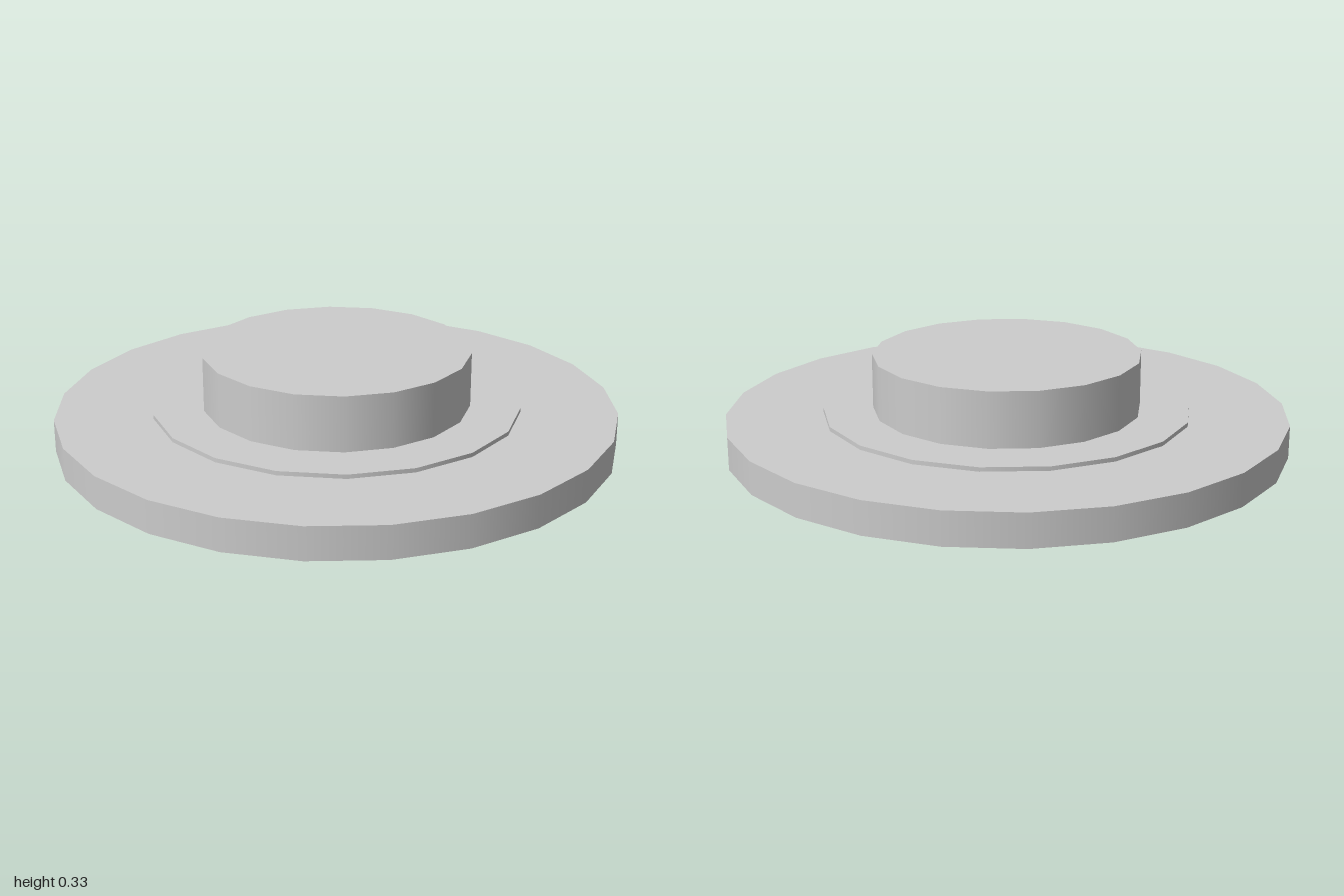
import * as THREE from 'three';

export function createModel() {
  const group = new THREE.Group();
  const grey = new THREE.MeshStandardMaterial({ color: 0xcccccc, side: THREE.DoubleSide });
  grey.name = 'light grey';

  // Each tier is a thin shell, open below: a smooth wall closed by a flat cap,
  // turned so its corners sit at the given angle
  const tier = (name, radius, bottom, top, sides, turn) => {
    const start = THREE.MathUtils.degToRad(turn);
    const wall = new THREE.Mesh(
      new THREE.CylinderGeometry(radius, radius, top - bottom, sides, 1, true, start), grey);
    wall.name = name + 'Wall';
    wall.position.y = (bottom + top) / 2;

    const cap = new THREE.Mesh(
      new THREE.CircleGeometry(radius, sides, start - Math.PI / 2).rotateX(-Math.PI / 2), grey);
    cap.name = name + 'Cap';
    cap.position.y = top;

    const part = new THREE.Group();
    part.name = name;
    part.add(wall, cap);
    group.add(part);
  };

  tier('base', 1.005, 0, 0.117, 24, 5.8);
  tier('collar', 0.66, 0.117, 0.132, 18, -0.6);
  tier('hub', 0.481, 0.132, 0.33, 18, -0.3);
  return group;
}
